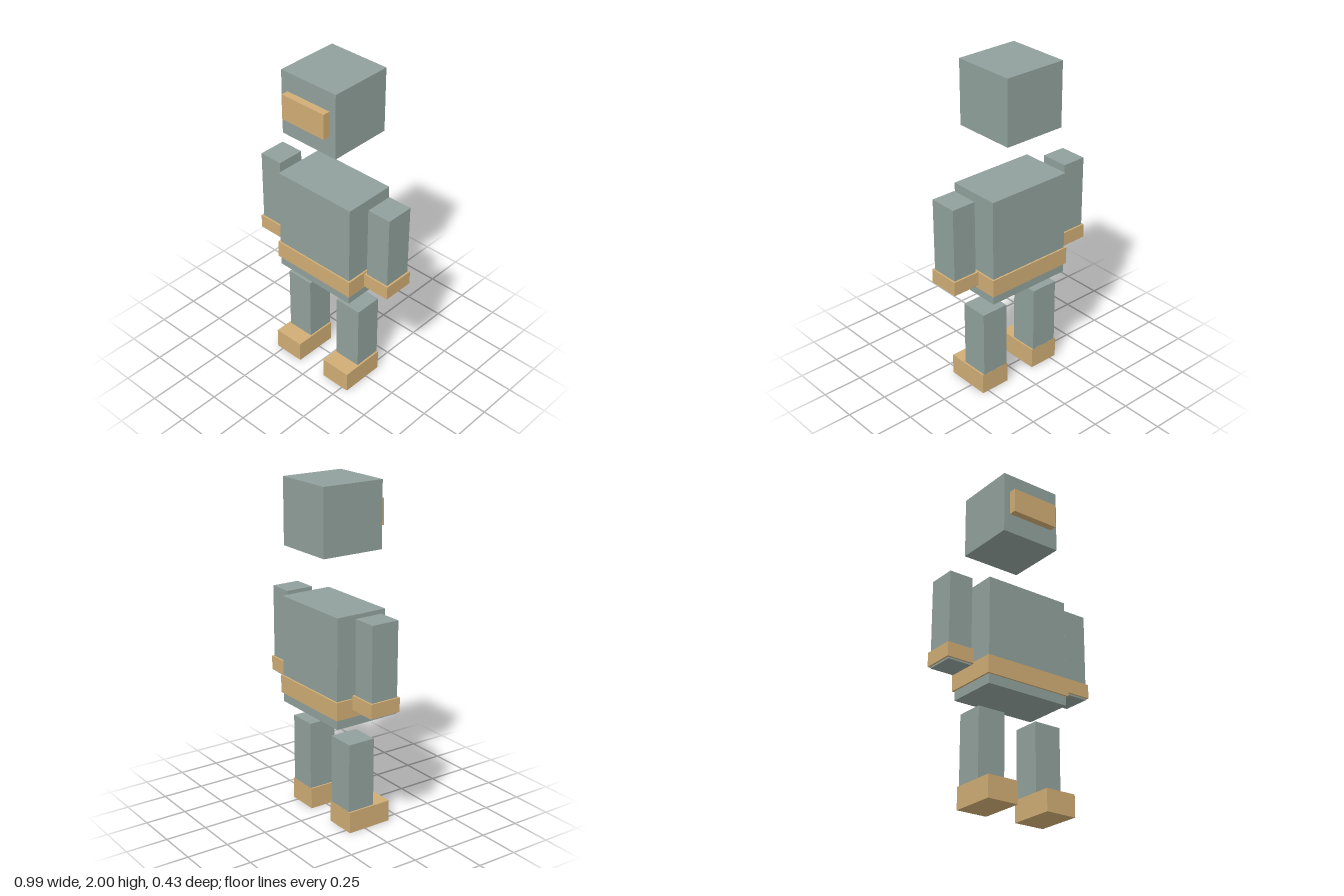
import * as THREE from 'three';

const grey = new THREE.MeshStandardMaterial({ color: 0x90a09b, flatShading: true });
const tan = new THREE.MeshStandardMaterial({ color: 0xcfac74, flatShading: true });

// Box spanning the given [min, max] ranges
function box(name, material, [x0, x1], [y0, y1], [z0, z1]) {
  const mesh = new THREE.Mesh(new THREE.BoxGeometry(x1 - x0, y1 - y0, z1 - z0), material);
  mesh.position.set((x0 + x1) / 2, (y0 + y1) / 2, (z0 + z1) / 2);
  mesh.name = name;
  return mesh;
}

export function createModel() {
  const model = new THREE.Group();
  model.name = 'blockRobot';

  // Floating head with a visor plate
  const head = new THREE.Group();
  head.name = 'head';
  head.add(
    box('skull', grey, [-0.194, 0.194], [1.613, 2], [-0.217, 0.171]),
    box('visor', tan, [-0.151, 0.151], [1.735, 1.886], [0.165, 0.215]),
  );

  // Torso wrapped by a belt
  const body = new THREE.Group();
  body.name = 'body';
  body.add(
    box('torso', grey, [-0.27, 0.27], [0.652, 1.298], [-0.183, 0.14]),
    box('belt', tan, [-0.281, 0.281], [0.709, 0.816], [-0.194, 0.15]),
  );
  model.add(head, body);

  // Arms with cuffs and legs with boots, mirrored across x
  for (const [side, s] of [['left', 1], ['right', -1]]) {
    const span = (a, b) => (s > 0 ? [a, b] : [-b, -a]);
    const arm = new THREE.Group();
    arm.name = side + 'Arm';
    arm.add(
      box(side + 'Sleeve', grey, span(0.335, 0.485), [0.764, 1.298], [-0.108, 0.064]),
      box(side + 'Cuff', tan, span(0.324, 0.496), [0.774, 0.859], [-0.119, 0.075]),
    );
    const leg = new THREE.Group();
    leg.name = side + 'Leg';
    leg.add(
      box(side + 'Shin', grey, span(0.108, 0.28), [0.06, 0.543], [-0.107, 0.065]),
      box(side + 'Boot', tan, span(0.098, 0.291), [0, 0.129], [-0.108, 0.171]),
    );
    model.add(arm, leg);
  }
  return model;
}
